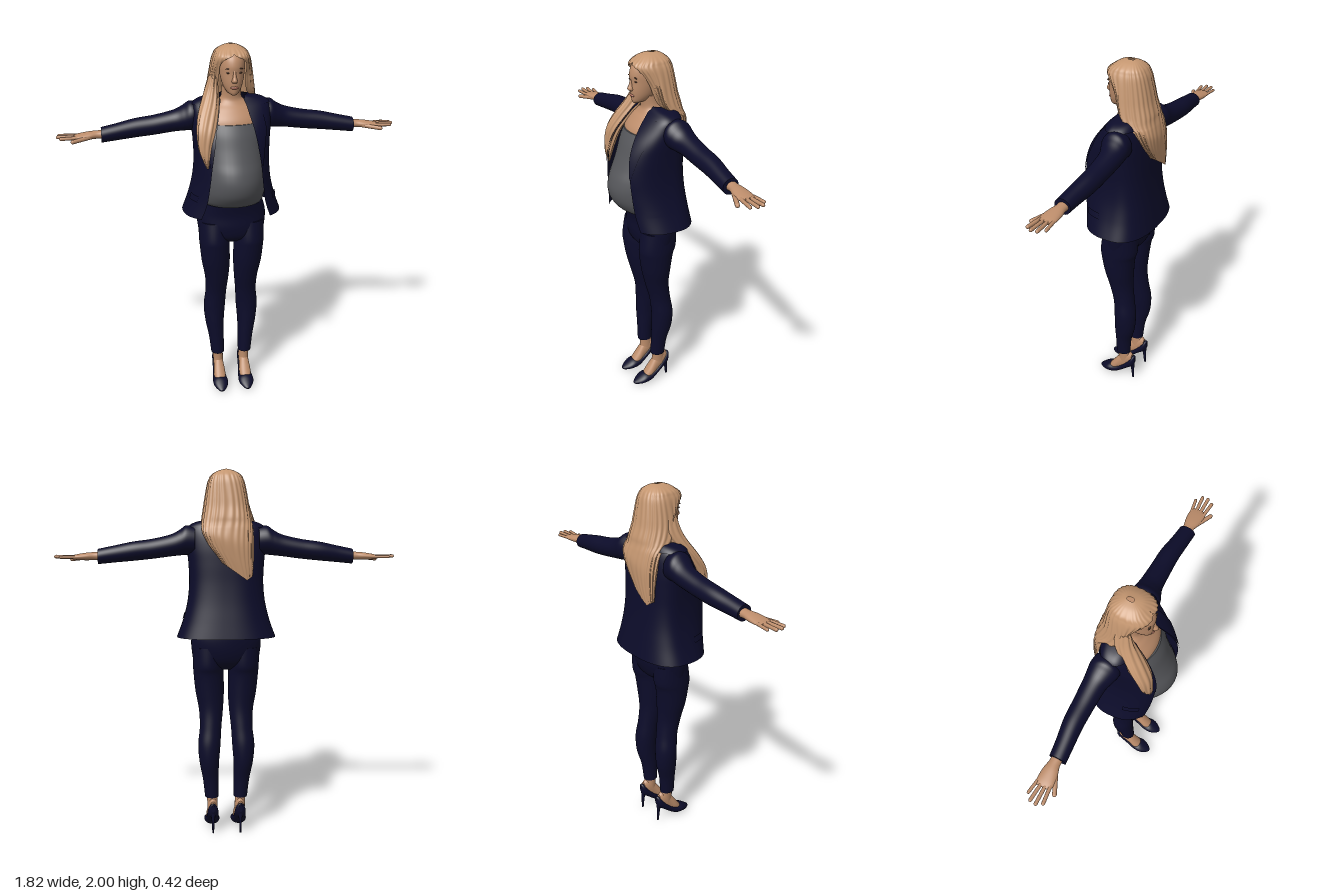
import * as THREE from 'three';

const mat = (name, color, side = THREE.FrontSide) => {
  const m = new THREE.MeshStandardMaterial({ color, side });
  m.name = name;
  return m;
};

// Smooth in-between rows through a short list of cross-sections
function sample(rows, steps = 6) {
  const out = [], last = rows.length - 1;
  for (let i = 0; i < last; i++) {
    for (let k = 0; k < steps; k++) {
      const t = k / steps, at = j => rows[Math.min(last, Math.max(0, j))];
      out.push(rows[i].map((b, c) => {
        const a = at(i - 1)[c], d = at(i + 1)[c], e = at(i + 2)[c];
        return b + 0.5 * t * (d - a + t * (2 * a - 5 * b + 4 * d - e + t * (3 * (b - d) + e - a)));
      }));
    }
  }
  out.push(rows[last]);
  return out;
}

function build(pos, idx) {
  const g = new THREE.BufferGeometry();
  g.setAttribute('position', new THREE.Float32BufferAttribute(pos, 3));
  g.setIndex(idx);
  g.computeVertexNormals();
  return g;
}

// Closed body from ellipses: rows of [station, centre1, centre2, radius1, radius2, radius2 behind]
function loft(rows, axis = 'y', m = 1, ripple = 0, seg = 40) {
  const rings = sample(rows.map(r => [...r.slice(0, 5), r[5] ?? r[4]]));
  const pos = [], idx = [];
  const put = (s, u, w) => {
    const p = axis === 'y' ? [u, s, w] : axis === 'x' ? [s, u, w] : [u, w, s];
    pos.push(p[0] * m, p[1], p[2]);
  };
  const ring = r => {
    for (let j = 0; j < seg; j++) {
      const a = j / seg * Math.PI * 2, c = Math.cos(a), s = Math.sin(a);
      const k = 1 + ripple * Math.sin(a * 9 + r[0] * 14);
      put(r[0], r[1] + Math.max(0.001, r[3]) * c * k, r[2] + Math.max(0.001, s > 0 ? r[4] : r[5]) * s * k);
    }
  };
  rings.forEach(ring);
  for (let i = 0; i < rings.length - 1; i++) {
    for (let j = 0; j < seg; j++) {
      const a = i * seg + j, b = i * seg + (j + 1) % seg;
      idx.push(a, a + seg, b, b, a + seg, b + seg);
    }
  }
  [rings[0], rings[rings.length - 1]].forEach((r, end) => {
    const base = pos.length / 3;
    ring(r);
    put(r[0], r[1], r[2]);
    for (let j = 0; j < seg; j++) {
      const a = base + j, b = base + (j + 1) % seg, c = base + seg;
      end ? idx.push(a, c, b) : idx.push(a, b, c);
    }
  });
  // Turn all faces outward
  const v = i => new THREE.Vector3().fromArray(pos, i * 3);
  let volume = 0;
  for (let i = 0; i < idx.length; i += 3) volume += v(idx[i]).dot(v(idx[i + 1]).cross(v(idx[i + 2])));
  if (volume < 0) idx.reverse();
  return build(pos, idx);
}

// Open sheet around the body: rows of [y, cx, cz, rx, front rz, back rz, opening angle]
function shell(rows, range, off = 0, seg = 80, warp = null) {
  const pos = [], idx = [], bend = v => Math.sign(v) * Math.abs(v) ** 0.8;
  rows.forEach((r, i) => {
    const [from, to] = range(r);
    for (let j = 0; j <= seg; j++) {
      const a = from + (to - from) * j / seg, s = bend(Math.sin(a)), c = bend(Math.cos(a));
      const p = [r[1] + (r[3] + off) * s, r[0], r[2] + ((c > 0 ? r[4] : r[5]) + off) * c];
      if (warp) warp(p, a, r);
      pos.push(...p);
      if (i && j) {
        const d = i * (seg + 1) + j, u = d - seg - 1;
        idx.push(u - 1, d - 1, u, u, d - 1, d);
      }
    }
  });
  return build(pos, idx);
}

export function createModel() {
  const model = new THREE.Group();
  model.name = 'woman';
  const skin = mat('skin', 0xbd8d6b), hair = mat('hair', 0xc49670, THREE.DoubleSide);
  const navy = mat('navy cloth', 0x0c0c2a, THREE.DoubleSide), grey = mat('grey shirt', 0x56575b);
  const dark = mat('eye brown', 0x5a3d2e), lip = mat('lip', 0xa66a58);
  const add = (name, geo, material) => {
    const mesh = new THREE.Mesh(geo, material);
    mesh.name = name;
    model.add(mesh);
    return mesh;
  };
  const blob = (name, material, x, y, z, sx, sy, sz) => {
    const mesh = add(name, new THREE.SphereGeometry(1, 20, 12), material);
    mesh.position.set(x, y, z);
    mesh.scale.set(sx, sy, sz);
    return mesh;
  };

  // Head, face and neck
  add('head', loft([
    [1.752, 0, 0.055, 0.01, 0.018, 0.03], [1.765, 0, 0.035, 0.03, 0.045, 0.05],
    [1.79, 0, 0.02, 0.046, 0.064, 0.07], [1.82, 0, 0.01, 0.056, 0.077, 0.08],
    [1.86, 0, 0, 0.064, 0.087, 0.09], [1.9, 0, -0.01, 0.068, 0.1, 0.09],
    [1.94, 0, -0.015, 0.066, 0.092, 0.09], [1.97, 0, -0.02, 0.05, 0.065, 0.075],
    [1.988, 0, -0.025, 0.015, 0.02, 0.03]]), skin);
  add('nose', loft([
    [1.88, 0, 0.084, 0.006, 0.005], [1.85, 0, 0.084, 0.009, 0.014],
    [1.828, 0, 0.086, 0.015, 0.02], [1.817, 0, 0.082, 0.011, 0.01]]), skin);
  blob('lips', lip, 0, 1.793, 0.081, 0.02, 0.008, 0.009);
  for (const m of [1, -1]) {
    blob('eye', dark, m * 0.03, 1.868, 0.076, 0.011, 0.004, 0.004);
    blob('eyebrow', dark, m * 0.031, 1.889, 0.078, 0.015, 0.003, 0.004).rotation.z = -m * 0.12;
  }
  add('neckAndChest', loft([
    [1.56, 0, -0.02, 0.17, 0.13, 0.1], [1.62, 0, -0.02, 0.16, 0.115, 0.1],
    [1.67, 0, -0.03, 0.13, 0.09, 0.085], [1.7, 0, -0.03, 0.09, 0.065, 0.07],
    [1.73, 0, -0.025, 0.055, 0.05, 0.06], [1.79, 0, -0.015, 0.05, 0.05, 0.055]]), skin);

  // Shirt over the rounded belly
  add('shirt', loft([
    [1.605, 0, -0.02, 0.155, 0.128, 0.1], [1.55, 0, -0.02, 0.17, 0.152, 0.105],
    [1.48, 0, -0.02, 0.172, 0.175, 0.11], [1.42, 0, -0.02, 0.175, 0.198, 0.11],
    [1.36, 0, -0.02, 0.178, 0.224, 0.11], [1.3, 0, -0.02, 0.18, 0.235, 0.11],
    [1.24, 0, -0.02, 0.18, 0.222, 0.12], [1.19, 0, -0.02, 0.175, 0.187, 0.125],
    [1.165, 0, -0.02, 0.165, 0.155, 0.125]]), grey);

  // Jacket body given as [y, half width, half opening, z of front edge, z of back]
  const jacket = sample([
    [1.738, 0.085, 0.06, -0.005, -0.1], [1.722, 0.16, 0.062, 0.012, -0.115],
    [1.695, 0.2, 0.07, 0.04, -0.13], [1.65, 0.21, 0.08, 0.078, -0.145],
    [1.58, 0.21, 0.098, 0.125, -0.155], [1.5, 0.203, 0.112, 0.155, -0.16],
    [1.4, 0.2, 0.128, 0.165, -0.165], [1.3, 0.21, 0.14, 0.16, -0.175],
    [1.2, 0.235, 0.155, 0.15, -0.19], [1.11, 0.268, 0.185, 0.135, -0.205],
  ].map(([y, rx, w, front, back]) => {
    const a = Math.asin((w / rx) ** 1.25);
    return [y, 0, -0.04, rx, (front + 0.04) / Math.cos(a) ** 0.8, -0.04 - back, a];
  }));
  const full = r => [r[6], Math.PI * 2 - r[6]];
  add('jacketBody', shell(jacket, full), navy);
  const between = (lo, hi) => jacket.filter(r => r[0] >= lo && r[0] <= hi);
  for (const m of [1, -1]) {
    const lapel = r => [m * r[6], m * (r[6] + 0.42 * Math.min(1, (r[0] - 1.38) / 0.2))];
    add('lapel', shell(between(1.385, 1.73), lapel, 0.006, 12), navy);
    add('pocketFlap', shell(between(1.2, 1.245), r => [m * 0.95, m * 1.35], 0.006, 12), navy);
  }
  add('collar', shell(between(1.69, 1.74), full, 0.007), navy);

  // Trousers
  add('trouserHips', loft([
    [1.19, 0, -0.02, 0.163, 0.13], [1.1, 0, -0.03, 0.19, 0.12], [1.02, 0, -0.024, 0.187, 0.113],
    [0.96, 0, -0.018, 0.172, 0.09], [0.925, 0, -0.015, 0.12, 0.04]]), navy);

  for (const m of [1, -1]) {
    add('trouserLeg', loft([
      [1.05, 0.095, -0.025, 0.088, 0.1], [0.95, 0.098, -0.016, 0.084, 0.106],
      [0.9, 0.096, -0.01, 0.083, 0.097], [0.8, 0.09, -0.012, 0.079, 0.083],
      [0.7, 0.084, -0.022, 0.067, 0.068], [0.6, 0.087, -0.04, 0.06, 0.06],
      [0.5, 0.095, -0.052, 0.062, 0.062], [0.4, 0.095, -0.05, 0.054, 0.06],
      [0.3, 0.087, -0.038, 0.044, 0.047], [0.195, 0.081, -0.033, 0.038, 0.042]], 'y', m), navy);

    // Foot and high-heeled shoe
    add('ankle', loft([
      [0.22, 0.08, -0.035, 0.03, 0.036], [0.16, 0.078, -0.04, 0.029, 0.037],
      [0.11, 0.077, -0.04, 0.028, 0.04]], 'y', m), skin);
    add('foot', loft([
      [-0.09, 0.077, 0.145, 0.018, 0.035], [-0.06, 0.077, 0.14, 0.027, 0.055],
      [-0.02, 0.077, 0.105, 0.029, 0.06], [0.02, 0.077, 0.065, 0.034, 0.045],
      [0.055, 0.077, 0.035, 0.028, 0.025]], 'z', m), skin);
    add('shoe', loft([
      [-0.109, 0.077, 0.145, 0.01, 0.022], [-0.095, 0.077, 0.132, 0.027, 0.038],
      [-0.06, 0.077, 0.098, 0.032, 0.032], [-0.02, 0.077, 0.06, 0.034, 0.027],
      [0.02, 0.077, 0.037, 0.041, 0.03], [0.06, 0.077, 0.03, 0.044, 0.029],
      [0.09, 0.077, 0.022, 0.036, 0.021], [0.118, 0.077, 0.013, 0.017, 0.01],
      [0.127, 0.077, 0.012, 0.004, 0.003]], 'z', m), navy);
    add('shoeHeel', loft([
      [0.125, 0.077, -0.088, 0.02, 0.018], [0.08, 0.077, -0.093, 0.009, 0.011],
      [0, 0.077, -0.098, 0.005, 0.006]], 'y', m), navy);

    // Sleeve and hand
    add('sleeve', loft([
      [0.17, 1.625, -0.06, 0.075, 0.072], [0.215, 1.628, -0.062, 0.077, 0.075],
      [0.25, 1.615, -0.068, 0.067, 0.068], [0.3, 1.6, -0.075, 0.057, 0.058],
      [0.4, 1.582, -0.077, 0.052, 0.053], [0.5, 1.57, -0.077, 0.05, 0.05],
      [0.6, 1.555, -0.068, 0.044, 0.045], [0.68, 1.543, -0.062, 0.04, 0.043]], 'x', m), navy);
    add('hand', loft([
      [0.66, 1.545, -0.065, 0.024, 0.029], [0.7, 1.545, -0.066, 0.021, 0.028],
      [0.74, 1.543, -0.064, 0.02, 0.038], [0.79, 1.54, -0.062, 0.015, 0.043],
      [0.822, 1.539, -0.062, 0.008, 0.038]], 'x', m), skin);
    const fingers = [ // base x, y, z, tip x, y, z, radius
      [0.8, 1.54, -0.096, 0.87, 1.54, -0.106, 0.008], [0.81, 1.541, -0.074, 0.898, 1.543, -0.08, 0.009],
      [0.81, 1.541, -0.052, 0.902, 1.543, -0.05, 0.009], [0.8, 1.54, -0.031, 0.885, 1.54, -0.021, 0.009],
      [0.735, 1.538, -0.04, 0.825, 1.528, 0.002, 0.011]];
    for (const [x, y, z, tx, ty, tz, r] of fingers) {
      const a = new THREE.Vector3(m * x, y, z), b = new THREE.Vector3(m * tx, ty, tz);
      const finger = add('finger', new THREE.CapsuleGeometry(r, a.distanceTo(b), 6, 12), skin);
      finger.position.copy(a).lerp(b, 0.5);
      finger.quaternion.setFromUnitVectors(new THREE.Vector3(0, 1, 0), b.sub(a).normalize());
    }
  }

  // Long hair: rippled strands, hem slanting down to the right
  const hairRows = sample([
    [2.0, 0, -0.03, 0.01, 0.015, 0.02, 0], [1.99, 0, -0.03, 0.045, 0.055, 0.05, 0],
    [1.97, 0, -0.03, 0.078, 0.088, 0.077, 0], [1.95, 0, -0.03, 0.09, 0.112, 0.09, 0.05],
    [1.93, 0, -0.03, 0.098, 0.112, 0.098, 0.45], [1.9, 0, -0.03, 0.105, 0.09, 0.105, 0.6],
    [1.85, 0, -0.03, 0.114, 0.055, 0.115, 0.55], [1.8, 0, -0.035, 0.122, 0.04, 0.12, 0.55],
    [1.75, 0, -0.05, 0.13, 0.03, 0.12, 0.62], [1.72, 0, -0.075, 0.134, 0.02, 0.1, 1.1],
    [1.68, 0, -0.115, 0.135, 0.02, 0.07, 1.5], [1.6, -0.005, -0.135, 0.132, 0.02, 0.062, 1.57],
    [1.5, -0.02, -0.15, 0.115, 0.02, 0.043, 1.57], [1.42, -0.05, -0.155, 0.08, 0.02, 0.03, 1.57]]);
  add('longHair', shell(hairRows, full, 0, 200, (p, a, r) => {
    const k = 1 + 0.018 * Math.sin(a * 26 + 2 * Math.sin(r[0] * 13)) * Math.min(1, (2 - r[0]) * 25);
    p[0] = r[1] + (p[0] - r[1]) * k;
    p[2] = r[2] + (p[2] - r[2]) * k;
    if (r[0] < 1.7) p[1] += Math.abs(p[0] + 0.1) * 0.7 * (1.7 - r[0]) / 0.28;
  }), hair);
  add('frontLock', loft([
    [1.85, -0.092, -0.03, 0.02, 0.04], [1.78, -0.103, -0.02, 0.033, 0.05],
    [1.72, -0.115, 0.012, 0.044, 0.05], [1.65, -0.135, 0.065, 0.05, 0.045],
    [1.58, -0.15, 0.11, 0.047, 0.037], [1.5, -0.158, 0.132, 0.036, 0.027],
    [1.44, -0.155, 0.142, 0.02, 0.018], [1.395, -0.15, 0.145, 0.005, 0.006]], 'y', 1, 0.07, 90), hair);

  return model;
}
